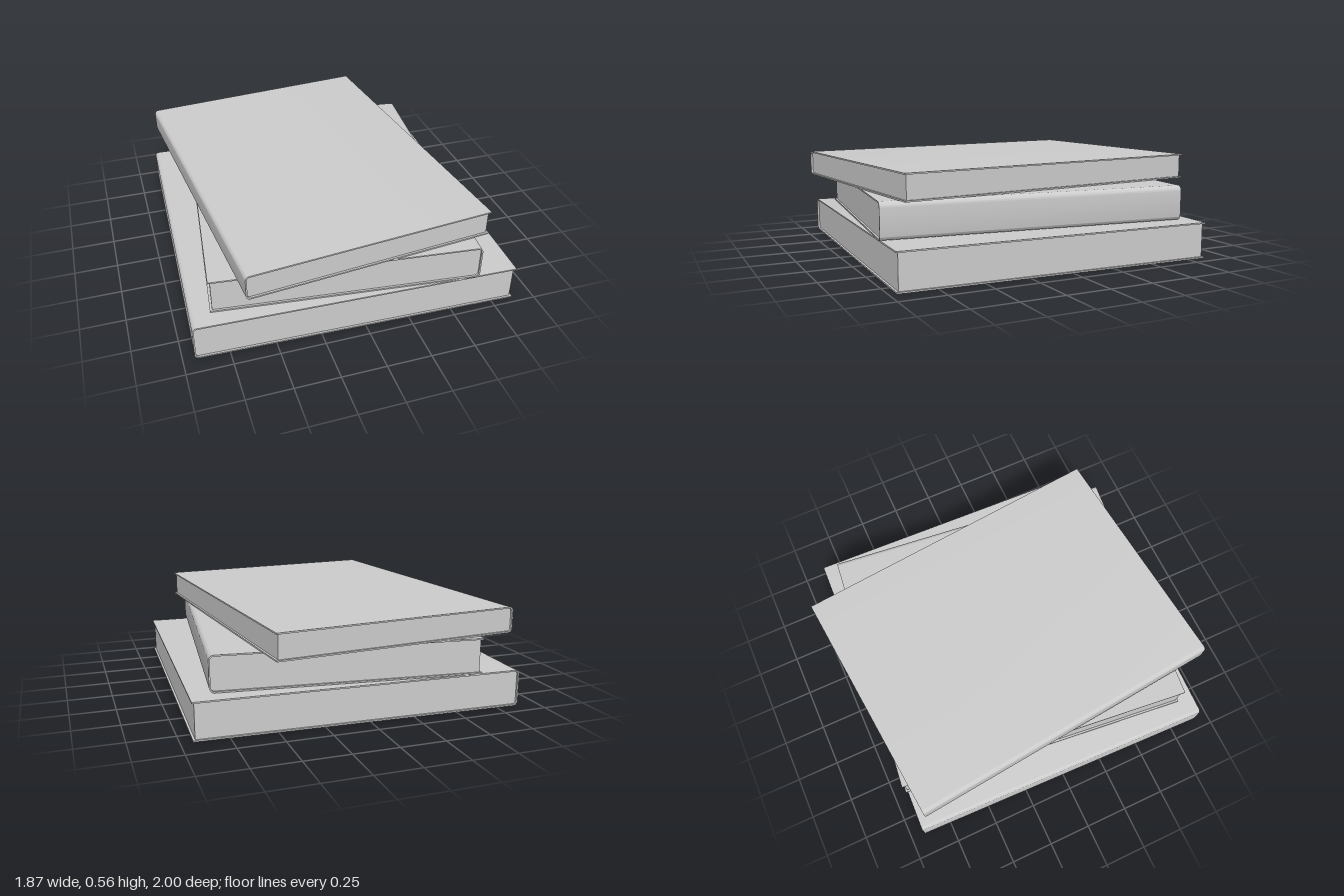
import * as THREE from 'three';
import { toCreasedNormals } from 'three/addons/utils/BufferGeometryUtils.js';

const material = new THREE.MeshStandardMaterial({ color: 0xcccccc });
const THICK = 0.008; // cover board
const INSET = 0.012; // pages sit back from the cover edges

// Cross-section of a wraparound cover: spine at -x, open at +x
function coverShape(w, h, r) {
  const x0 = -w / 2, x1 = w / 2, t = THICK, ri = r - t;
  const s = new THREE.Shape();
  s.moveTo(x1, 0);
  s.lineTo(x1, t);
  s.lineTo(x0 + r, t);
  s.absarc(x0 + r, r, ri, -Math.PI / 2, -Math.PI, true);
  s.lineTo(x0 + t, h - r);
  s.absarc(x0 + r, h - r, ri, Math.PI, Math.PI / 2, true);
  s.lineTo(x1, h - t);
  s.lineTo(x1, h);
  s.lineTo(x0 + r, h);
  s.absarc(x0 + r, h - r, r, Math.PI / 2, Math.PI, false);
  s.lineTo(x0, r);
  s.absarc(x0 + r, r, r, Math.PI, Math.PI * 1.5, false);
  s.closePath();
  return s;
}

// Page block, rounded to nest inside the spine
function pageShape(w, h, r) {
  const x0 = -w / 2 + THICK, x1 = w / 2 - INSET, ri = r - THICK;
  const s = new THREE.Shape();
  s.moveTo(x1, THICK);
  s.lineTo(x1, h - THICK);
  s.lineTo(x0 + ri, h - THICK);
  s.absarc(x0 + ri, h - r, ri, Math.PI / 2, Math.PI, false);
  s.lineTo(x0, r);
  s.absarc(x0 + ri, r, ri, Math.PI, Math.PI * 1.5, false);
  s.closePath();
  return s;
}

function extruded(shape, depth, name) {
  const geo = new THREE.ExtrudeGeometry(shape, { depth, bevelEnabled: false, curveSegments: 8 });
  geo.translate(0, 0, -depth / 2);
  const mesh = new THREE.Mesh(toCreasedNormals(geo, 0.6), material);
  mesh.name = name;
  return mesh;
}

function book({ name, w, h, d, r, x, y, z, turn }) {
  const g = new THREE.Group();
  g.name = name;
  g.add(extruded(coverShape(w, h, r), d, 'cover'));
  g.add(extruded(pageShape(w, h, r), d - 2 * INSET, 'pages'));
  g.position.set(x, y, z);
  g.rotation.y = turn;
  return g;
}

export function createModel() {
  const stack = new THREE.Group();
  stack.name = 'bookStack';
  const books = [
    { name: 'bottomBook', w: 1.816, h: 0.207, d: 1.82, r: 0.025, x: 0, y: 0, z: 0.024, turn: -0.032 },
    // the middle book is turned round, spine to +x
    { name: 'middleBook', w: 1.478, h: 0.199, d: 1.738, r: 0.03, x: 0.003, y: 0.21, z: 0.024, turn: Math.PI - 0.106 },
    { name: 'topBook', w: 1.402, h: 0.145, d: 1.868, r: 0.025, x: -0.06, y: 0.411, z: 0, turn: 0.0996 },
  ];
  for (const b of books) stack.add(book(b));
  return stack;
}
